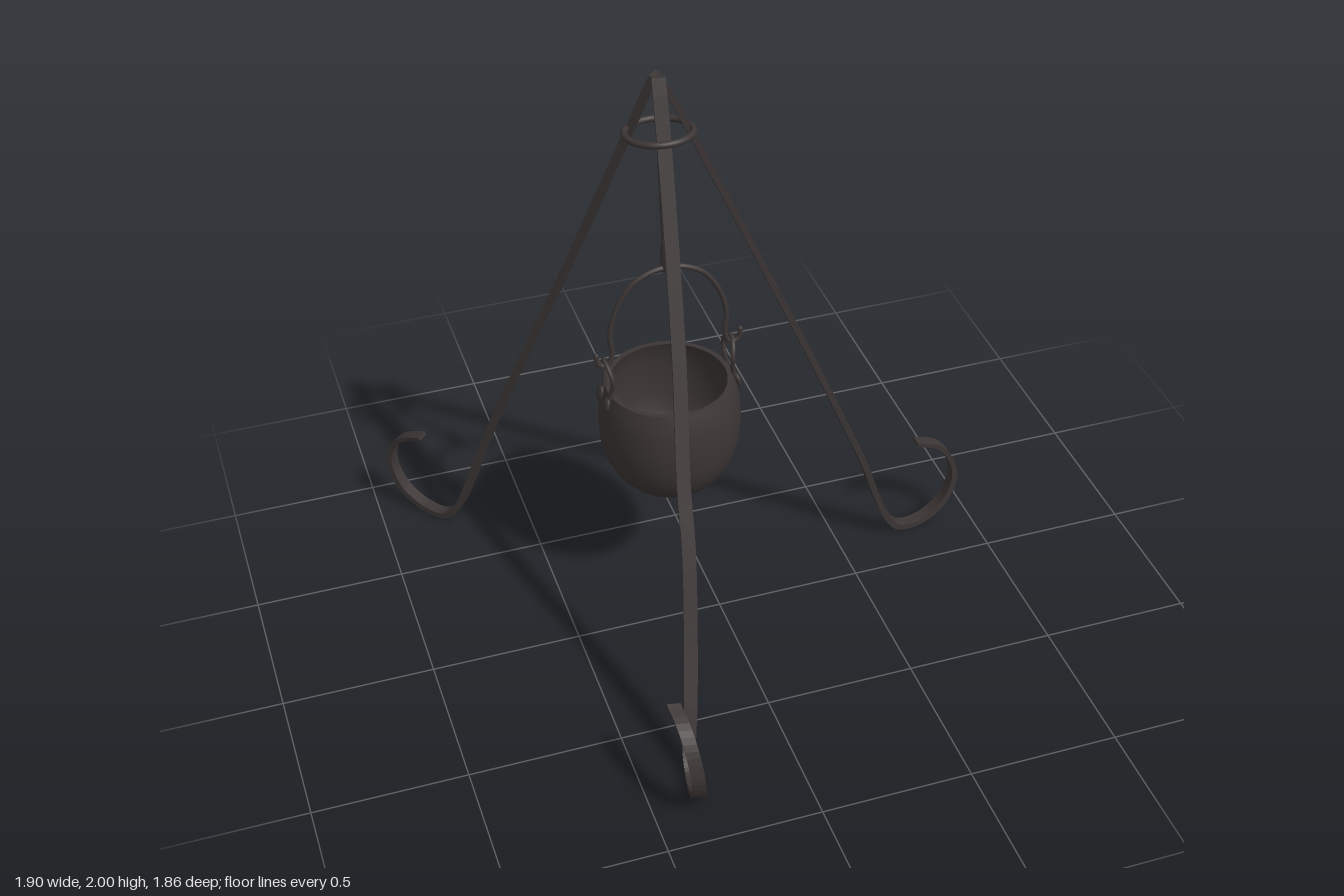
import * as THREE from 'three';

const iron = new THREE.MeshStandardMaterial({ color: 0x3c3635 });
iron.name = 'dark iron';

const vec = (p) => new THREE.Vector3(...p);

function add(parent, name, geometry) {
  const mesh = new THREE.Mesh(geometry, iron);
  mesh.name = name;
  parent.add(mesh);
  return mesh;
}

// Flat forged bar: a rectangle swept along a path, kept wide along one level direction
function flatBar(points, across, width, thick, steps = 56) {
  const curve = new THREE.CatmullRomCurve3(points.map(vec), false, 'centripetal');
  const side = vec(across).normalize();
  const pos = [], idx = [];
  for (let i = 0; i <= steps; i++) {
    const t = i / steps;
    const p = curve.getPoint(t), tan = curve.getTangent(t);
    const n = tan.clone().cross(side).normalize();
    const taper = t > 0.75 ? 1 - (t - 0.75) * 1.6 : 1;
    for (const [a, b] of [[1, 1], [-1, 1], [-1, -1], [1, -1]]) {
      const q = p.clone().addScaledVector(side, a * width / 2).addScaledVector(n, b * thick * taper / 2);
      q.y = Math.min(2, Math.max(0, q.y));
      pos.push(q.x, q.y, q.z);
    }
  }
  for (let i = 0; i < steps; i++) {
    for (let k = 0; k < 4; k++) {
      const a = i * 4 + k, b = i * 4 + (k + 1) % 4;
      idx.push(a, a + 4, b, b, a + 4, b + 4);
    }
  }
  const e = steps * 4;
  idx.push(0, 1, 2, 0, 2, 3, e, e + 2, e + 1, e, e + 3, e + 2);
  const geo = new THREE.BufferGeometry();
  geo.setAttribute('position', new THREE.Float32BufferAttribute(pos, 3));
  geo.setIndex(idx);
  // make sure the faces point outward
  const flat = geo.toNonIndexed();
  flat.computeVertexNormals();
  const mid = curve.getPoint(0.5 / steps);
  const f = flat.attributes.position, c = new THREE.Vector3();
  for (let i = 0; i < 3; i++) c.add(new THREE.Vector3().fromBufferAttribute(f, i)).divideScalar(1);
  c.divideScalar(3).sub(mid);
  if (c.dot(new THREE.Vector3().fromBufferAttribute(flat.attributes.normal, 0)) < 0) {
    for (let i = 0; i < idx.length; i += 3) [idx[i + 1], idx[i + 2]] = [idx[i + 2], idx[i + 1]];
    geo.setIndex(idx);
    const flipped = geo.toNonIndexed();
    flipped.computeVertexNormals();
    return flipped;
  }
  return flat;
}

// Round wire along a smooth path, with rounded ends
function wire(parent, name, points, radius, steps = 48) {
  const curve = new THREE.CatmullRomCurve3(points.map(vec), false, 'centripetal');
  add(parent, name, new THREE.TubeGeometry(curve, steps, radius, 8));
  for (const p of [points[0], points[points.length - 1]]) {
    add(parent, name + 'End', new THREE.SphereGeometry(radius, 8, 6)).position.set(...p);
  }
}

export function createModel() {
  const model = new THREE.Group();
  model.name = 'tripodWithCauldron';

  // Three legs, each ending in an upturned scroll foot
  const legs = [
    ['leftLeg', [0, 0, 1], [
      [-0.135, 2, -0.16], [-0.03, 1.77, -0.163], [0.2, 1.25, -0.165], [0.42, 0.74, -0.165], [0.495, 0.56, -0.165],
      [0.58, 0.35, -0.165], [0.63, 0.2, -0.172], [0.685, 0.07, -0.177], [0.73, 0.02, -0.18], [0.82, 0.018, -0.19],
      [0.9, 0.07, -0.2], [0.942, 0.17, -0.205], [0.923, 0.26, -0.207], [0.875, 0.325, -0.207], [0.79, 0.358, -0.205]]],
    ['frontLeg', [0.97, 0, 0.2], [
      [-0.14, 2, -0.15], [-0.15, 1.77, -0.06], [-0.19, 1.2, 0.18], [-0.228, 0.85, 0.33], [-0.242, 0.66, 0.42],
      [-0.277, 0.38, 0.54], [-0.305, 0.2, 0.62], [-0.33, 0.06, 0.68], [-0.338, 0.018, 0.73], [-0.35, 0.022, 0.8],
      [-0.36, 0.07, 0.87], [-0.373, 0.17, 0.912], [-0.383, 0.26, 0.893], [-0.392, 0.325, 0.84], [-0.4, 0.355, 0.75]]],
    ['backRightLeg', [0.68, 0, -0.73], [
      [-0.145, 2, -0.17], [-0.21, 1.78, -0.235], [-0.4, 1.15, -0.425], [-0.51, 0.82, -0.52], [-0.6, 0.53, -0.605],
      [-0.655, 0.35, -0.65], [-0.7, 0.19, -0.685], [-0.745, 0.06, -0.722], [-0.78, 0.018, -0.755], [-0.84, 0.02, -0.82],
      [-0.9, 0.075, -0.88], [-0.93, 0.17, -0.908], [-0.92, 0.26, -0.895], [-0.885, 0.32, -0.85], [-0.835, 0.358, -0.785]]],
  ];
  for (const [name, across, path] of legs) add(model, name, flatBar(path, across, 0.043, 0.021));

  // Tilted ring binding the legs
  const ring = add(model, 'bindingRing', new THREE.TorusGeometry(0.105, 0.011, 10, 40));
  ring.position.set(-0.14, 1.81, -0.155);
  ring.rotation.x = Math.PI / 2 - 0.13;

  // Hanging hook from the ring to the handle
  wire(model, 'hangingHook', [
    [-0.095, 1.73, -0.285], [-0.095, 1.765, -0.288], [-0.1, 1.797, -0.27], [-0.108, 1.81, -0.235],
    [-0.12, 1.79, -0.205], [-0.125, 1.74, -0.193], [-0.12, 1.5, -0.193], [-0.116, 1.31, -0.19],
    [-0.115, 1.278, -0.2], [-0.114, 1.285, -0.216], [-0.113, 1.33, -0.22], [-0.113, 1.36, -0.215]], 0.01, 72);

  // Arched handle with a small hook at each end
  const cx = -0.107, cz = -0.2;
  const half = [[0.243, 1.0], [0.24, 0.97], [0.22, 0.955], [0.2, 0.965], [0.19, 1.0], [0.196, 1.06],
    [0.19, 1.11], [0.165, 1.18], [0.12, 1.245], [0.06, 1.28]];
  const arch = [
    ...half.map(([x, y]) => [cx - x, y, cz + 0.005]),
    [cx, 1.29, cz + 0.005],
    ...[...half].reverse().map(([x, y]) => [cx + x, y, cz + 0.005])];
  wire(model, 'potHandle', arch, 0.009, 96);

  // Open round-bottomed pot
  const profile = [[0, 0.43], [0.06, 0.433], [0.11, 0.447], [0.155, 0.475], [0.19, 0.515], [0.217, 0.57],
    [0.231, 0.63], [0.236, 0.7], [0.232, 0.77], [0.222, 0.815], [0.21, 0.85]];
  const inner = profile.map(([r, y]) => [Math.max(0, r - 0.018), y < 0.84 ? y + 0.018 * (1 - r / 0.24) : y]).reverse();
  const pot = new THREE.Group();
  pot.name = 'pot';
  pot.position.set(cx, 0, cz);
  model.add(pot);
  const lathe = (pts) => new THREE.LatheGeometry(pts.map(([r, y]) => new THREE.Vector2(r, y)), 48);
  add(pot, 'potOutside', lathe(profile));
  add(pot, 'potRim', lathe([profile[10], inner[0]]));
  add(pot, 'potInside', lathe(inner));

  // Wire ears with flattened feet on both sides of the pot
  for (const s of [-1, 1]) {
    const x = (r) => cx + s * r;
    wire(model, 'potEar', [
      [x(0.222), 0.81, cz - 0.037], [x(0.206), 0.87, cz - 0.04], [x(0.203), 0.92, cz - 0.05],
      [x(0.21), 0.957, cz - 0.03], [x(0.216), 0.97, cz],
      [x(0.21), 0.957, cz + 0.03], [x(0.203), 0.92, cz + 0.05], [x(0.206), 0.87, cz + 0.04],
      [x(0.222), 0.81, cz + 0.037]], 0.008);
    for (const z of [-0.037, 0.037]) {
      const foot = add(model, 'earFoot', new THREE.SphereGeometry(1, 12, 8));
      foot.scale.set(0.01, 0.027, 0.021);
      foot.position.set(x(0.224), 0.822, cz + z);
      foot.rotation.z = s * 0.25;
    }
  }
  return model;
}
